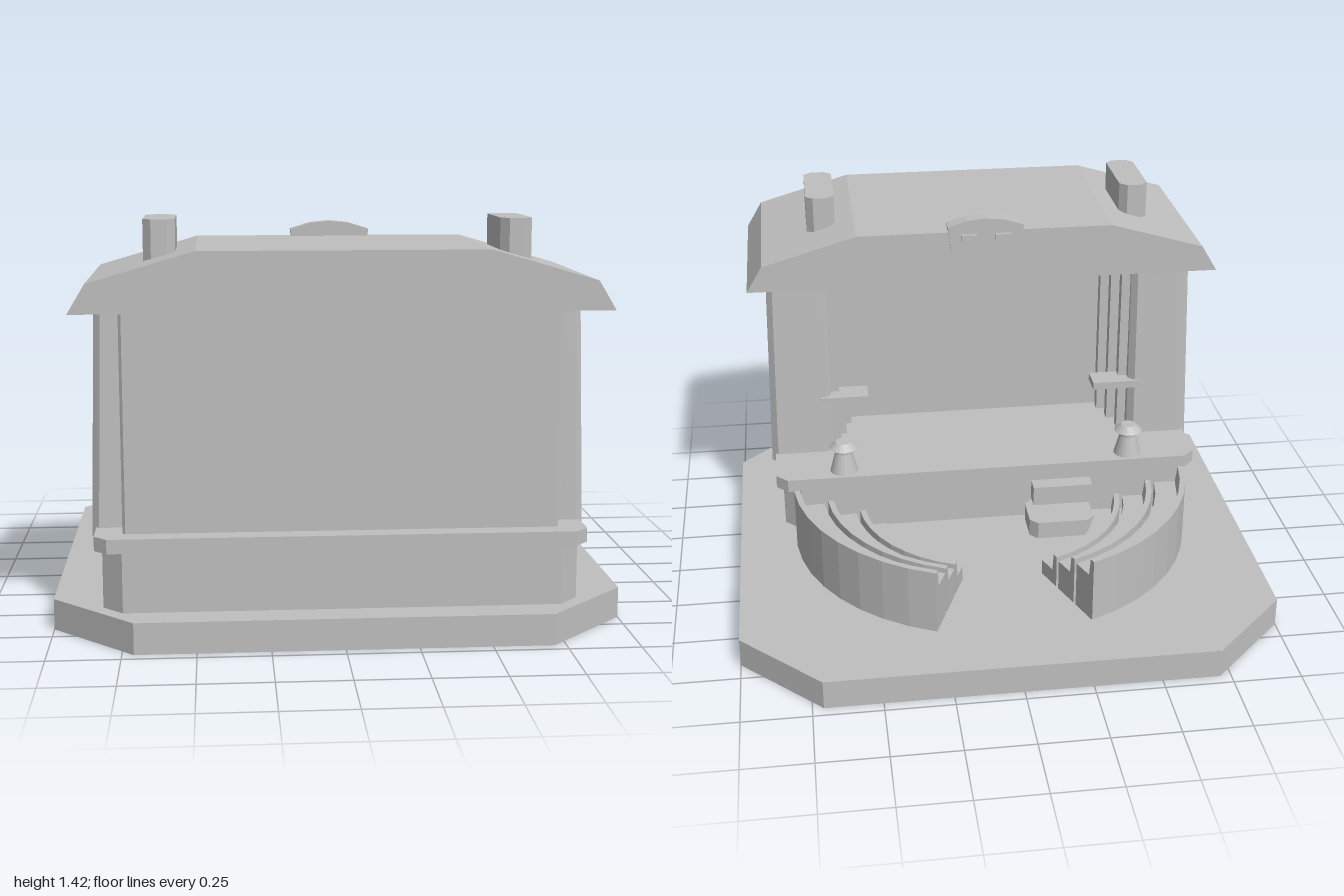
import * as THREE from 'three';

const grey = new THREE.MeshStandardMaterial({ color: 0xbfbfbf, side: THREE.DoubleSide });
grey.name = 'stone grey';

const flat = (g) => {
  const n = g.index ? g.toNonIndexed() : g;
  n.computeVertexNormals();
  return n;
};

// upright block with chamfered vertical corners
function prism(x0, x1, y0, y1, z0, z1, c) {
  const pts = [
    [x0 + c, -z1], [x1 - c, -z1], [x1, -z1 + c], [x1, -z0 - c],
    [x1 - c, -z0], [x0 + c, -z0], [x0, -z0 - c], [x0, -z1 + c],
  ].map((p) => new THREE.Vector2(...p));
  const g = new THREE.ExtrudeGeometry(new THREE.Shape(pts), { depth: y1 - y0, bevelEnabled: false });
  return g.rotateX(-Math.PI / 2).translate(0, y0, 0);
}

const box = (x0, x1, y0, y1, z0, z1) =>
  new THREE.BoxGeometry(x1 - x0, y1 - y0, z1 - z0)
    .translate((x0 + x1) / 2, (y0 + y1) / 2, (z0 + z1) / 2);

// outline in x,y pushed along z
function plate(points, z0, z1) {
  const s = new THREE.Shape(points.map((p) => new THREE.Vector2(...p)));
  return new THREE.ExtrudeGeometry(s, { depth: z1 - z0, bevelEnabled: false }).translate(0, 0, z0);
}

export function createModel() {
  const model = new THREE.Group();
  model.name = 'openAirStage';
  const add = (name, geometry, parent = model) => {
    const m = new THREE.Mesh(geometry, grey);
    m.name = name;
    parent.add(m);
    return m;
  };

  // ground slab: octagonal rim and top, hollow below
  const oct = [[0.71, 0.96], [1, 0.67], [1, -0.67], [0.71, -0.96],
    [-0.71, -0.96], [-1, -0.67], [-1, 0.67], [-0.71, 0.96]];
  const rim = new THREE.CylinderGeometry(1, 1, 0.11, 8, 1, true).translate(0, 0.055, 0);
  const rp = rim.attributes.position;
  for (let i = 0; i < rp.count; i++) {
    const [x, z] = oct[(i % 9) % 8];
    rp.setX(i, x).setZ(i, z);
  }
  add('groundRim', flat(rim));
  const top = new THREE.Shape(oct.map(([x, z]) => new THREE.Vector2(x, -z)));
  add('groundTop', new THREE.ShapeGeometry(top).rotateX(-Math.PI / 2).translate(0, 0.11, 0));

  // stage plinth, floor and rear wall
  add('stagePlinth', prism(-0.82, 0.82, 0.11, 0.32, 0.07, 0.85, 0.07));
  add('stageFloor', prism(-0.845, 0.845, 0.32, 0.37, 0.015, 0.86, 0.045));
  add('rearWall', prism(-0.75, 0.75, 0.37, 1.14, 0.54, 0.79, 0.01));

  // roof
  add('roof', plate([[-0.91, 1.13], [0.91, 1.13], [0.85, 1.23], [0.49, 1.335],
    [-0.49, 1.335], [-0.85, 1.23]], 0.125, 0.87));

  // crest on the stage side of the roof
  add('crest', plate([[-0.145, 1.36], [-0.13, 1.25], [-0.02, 1.125], [0.02, 1.125],
    [0.13, 1.25], [0.145, 1.36], [0.07, 1.383], [0, 1.39], [-0.07, 1.383]], 0.11, 0.17));

  for (const s of [1, -1]) {
    const side = new THREE.Group();
    side.name = s > 0 ? 'leftSide' : 'rightSide';
    model.add(side);
    const span = (a, b) => (s > 0 ? [a, b] : [-b, -a]);

    // tapered side pillar
    const pillar = prism(...span(0.61, 0.86), 0.335, 1.14, 0.24, 0.70, 0.025);
    const p = pillar.attributes.position;
    for (let i = 0; i < p.count; i++) {
      const k = (p.getY(i) - 0.335) / 0.8;
      p.setX(i, s * (0.61 + (Math.abs(p.getX(i)) - 0.61) * (1 - 0.08 * k)));
      p.setZ(i, 0.47 + (p.getZ(i) - 0.47) * (1 - 0.13 * k));
    }
    add('pillar', flat(pillar), side);

    // stepped wing panels beside the stage opening
    for (let i = 0; i < 3; i++) {
      add('wingPanel', box(...span(0.575 - i * 0.025, 0.65), 0.37, 1.135,
        0.3 + i * 0.09, 0.34 + i * 0.09), side);
    }
    add('wingShelf', box(...span(0.46, 0.65), 0.58, 0.61, 0.24, 0.34), side);

    // roof chimney and crest slot
    add('chimney', prism(...span(0.56, 0.67), 1.27, 1.425, 0.32, 0.64, 0.028), side);
    add('crestEye', box(...span(0.035, 0.095), 1.305, 1.33, 0.095, 0.115), side);

    // stage lamp
    const lamp = [[0, 0.37], [0.055, 0.37], [0.034, 0.45], [0.034, 0.465],
      [0.056, 0.472], [0.03, 0.497], [0, 0.497]].map((q) => new THREE.Vector2(...q));
    add('stageLamp', flat(new THREE.LatheGeometry(lamp, 20).translate(s * 0.575, 0, 0.08)), side);

    // three curved seating tiers
    const a0 = THREE.MathUtils.degToRad(s > 0 ? 95 : 201.5);
    const sweep = THREE.MathUtils.degToRad(63.5);
    [[0.42, 0.525, 0.24], [0.54, 0.65, 0.30], [0.665, 0.78, 0.36]].forEach(([r0, r1, h]) => {
      const profile = (foot) => [[r0, foot], [r1, foot], [r1, h], [r1 - 0.022, h],
        [r1 - 0.03, h - 0.07], [r0, h - 0.07], [r0, foot]].map((q) => new THREE.Vector2(...q));
      const tier = new THREE.LatheGeometry(profile(0.111), 8, a0, sweep);
      add('seatingTier', flat(tier.translate(0, 0, 0.015)), side);
      for (const a of [a0, a0 + sweep]) {
        const cap = new THREE.ShapeGeometry(new THREE.Shape(profile(0.01).slice(0, 6)));
        add('tierEnd', cap.rotateY(a - Math.PI / 2).translate(0, 0, 0.015), side);
      }
    });
  }

  // step up to the stage with its back panel
  add('stageStep', prism(-0.41, -0.15, 0.11, 0.18, -0.12, 0.07, 0.03));
  add('stepPanel', box(-0.42, -0.18, 0.19, 0.27, 0.005, 0.075));

  return model;
}
